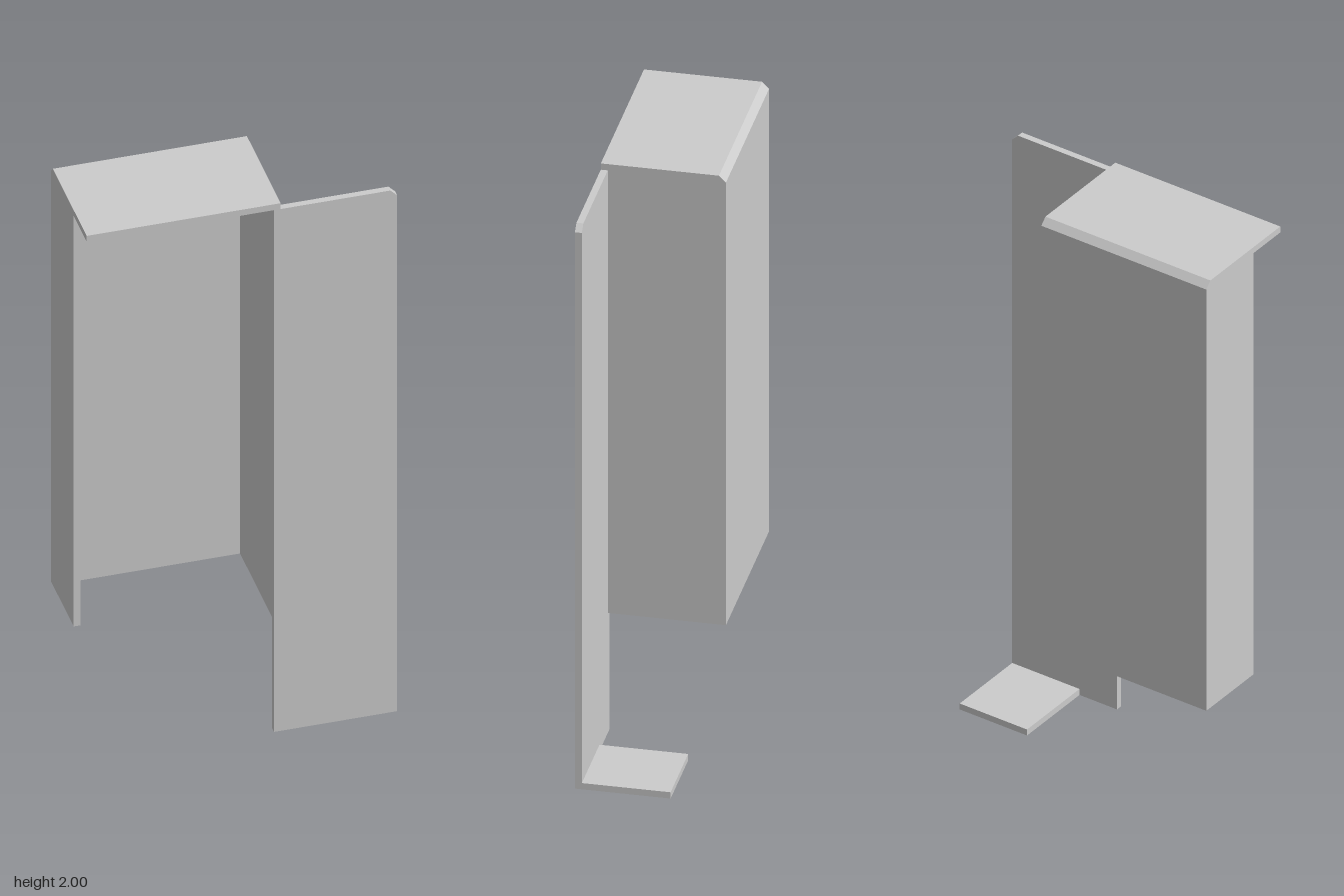
import * as THREE from 'three';

const T = 0.022;            // sheet thickness
const X0 = -0.5, X1 = 0.125, X2 = 0.5;
const ZB = -0.198, ZF = 0.198;
const Y0 = 0.422, YT = 2;

const material = new THREE.MeshStandardMaterial({ color: 0xcccccc, flatShading: true });

// Extrude a closed outline of [u, v] points by a depth along local z
function plate(name, points, depth) {
  const shape = new THREE.Shape(points.map(([u, v]) => new THREE.Vector2(u, v)));
  const geometry = new THREE.ExtrudeGeometry(shape, { depth, bevelEnabled: false });
  const mesh = new THREE.Mesh(geometry, material);
  mesh.name = name;
  return mesh;
}

export function createModel() {
  const group = new THREE.Group();
  group.name = 'sheetMetalBracket';

  // Folded channel: short left wall, back wall and full-depth right wall, drawn as (x, -z)
  const shortZ = 0.055, innerZ = ZF - T;
  const channel = plate('channelWalls', [
    [X0, -shortZ], [X0 + T, -shortZ], [X0 + T, -(ZB + T)], [X1 - T, -(ZB + T)],
    [X1 - T, -innerZ], [X1, -innerZ], [X1, -ZB], [X0, -ZB],
  ], YT - T - Y0);
  channel.rotation.x = -Math.PI / 2;
  channel.position.y = Y0;

  // Top flange with a chamfered back edge, drawn as (-z, y)
  const top = plate('topFlange', [
    [-ZF, YT - T], [-ZB, YT - T], [-ZB - T, YT], [-ZF, YT],
  ], X1 - X0);
  top.rotation.y = Math.PI / 2;
  top.position.x = X0;

  // Tall front plate with one clipped upper corner
  const front = plate('frontPlate', [
    [X1 - T, 0], [X2, 0], [X2, YT - 2 * T], [X2 - T, YT - T], [X1 - T, YT - T],
  ], T);
  front.position.z = innerZ;

  // Foot folded backwards from the bottom of the front plate
  const footX = 0.245, footZ = -0.105;
  const foot = new THREE.Mesh(new THREE.BoxGeometry(X2 - footX, T, innerZ - footZ), material);
  foot.name = 'foot';
  foot.position.set((X2 + footX) / 2, T / 2, (innerZ + footZ) / 2);

  group.add(channel, top, front, foot);
  return group;
}
